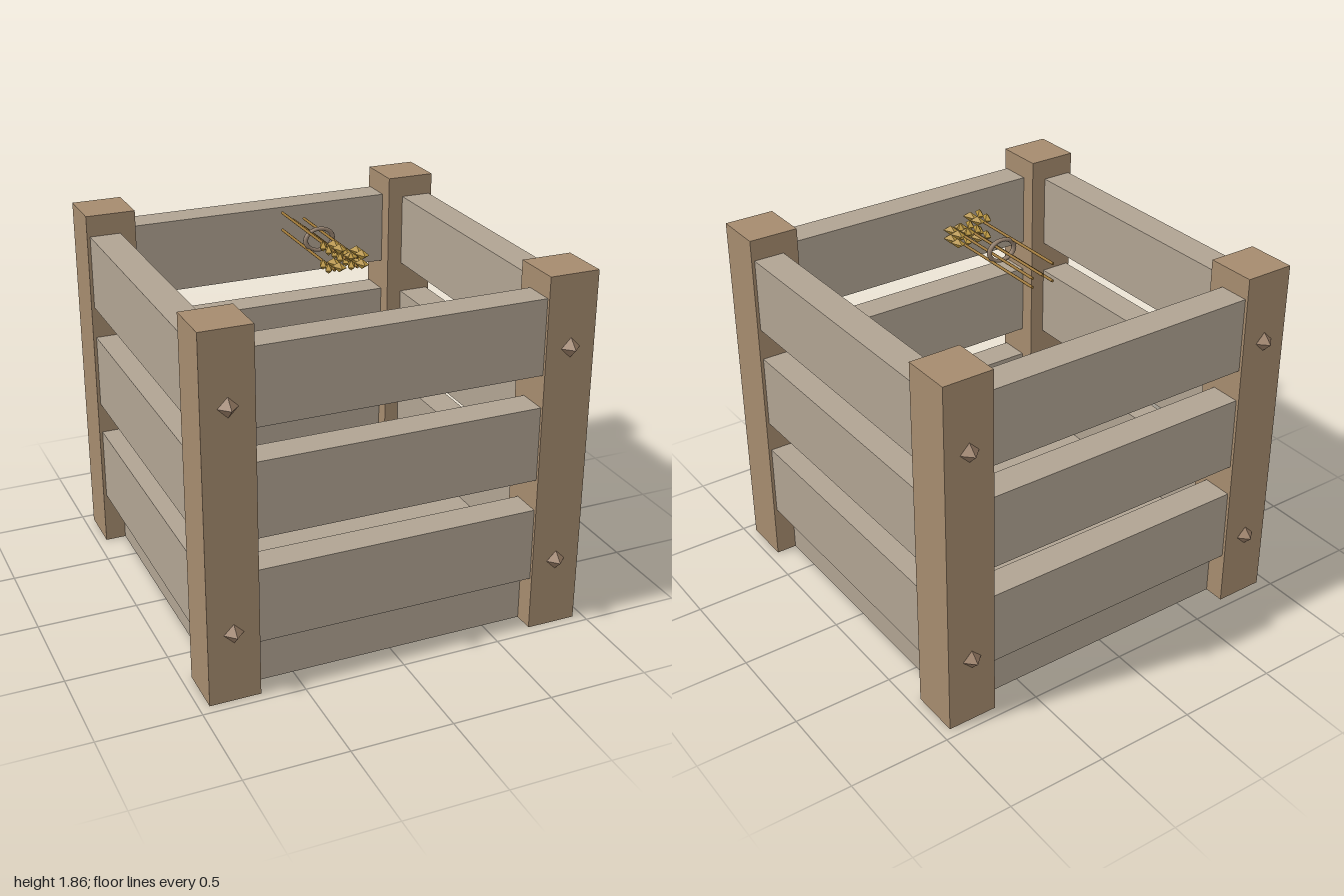
import * as THREE from 'three';

const mat = (name, color) => {
  const m = new THREE.MeshStandardMaterial({ color });
  m.name = name;
  return m;
};

export function createModel() {
  const postWood = mat('post wood', 0xa58b6e);
  const slatWood = mat('slat wood', 0xb0a392);
  const studMetal = mat('stud metal', 0x9c8068);
  const shaftWood = mat('arrow shaft', 0x9c7636);
  const feather = mat('feather gold', 0xb8943f);
  const bandMat = mat('band', 0x94806e);

  const root = new THREE.Group();
  root.name = 'arrowCrate';
  const add = (parent, name, geo, material, x, y, z) => {
    const m = new THREE.Mesh(geo, material);
    m.name = name;
    m.position.set(x, y, z);
    parent.add(m);
    return m;
  };

  // Solid floor block
  add(root, 'base', new THREE.BoxGeometry(1.69, 0.27, 1.69), slatWood, 0, 0.135, 0);

  // Corner posts with pyramid studs on the front and back
  const postGeo = new THREE.BoxGeometry(0.25, 1.815, 0.25);
  const studGeo = new THREE.OctahedronGeometry(0.048);
  for (const sx of [-1, 1]) for (const sz of [-1, 1]) {
    add(root, 'cornerPost', postGeo, postWood, sx * 0.825, 0.9075, sz * 0.825);
    for (const y of [0.355, 1.46])
      add(root, 'stud', studGeo, studMetal, sx * 0.825, y, sz * 0.952);
  }

  // Three slats on each of the four walls
  const slatGeo = new THREE.BoxGeometry(1.4, 0.373, 0.155);
  for (const y of [0.455, 0.987, 1.522]) {
    for (let i = 0; i < 4; i++) {
      const a = i * Math.PI / 2;
      const slat = add(root, 'slat', slatGeo, slatWood, Math.sin(a) * 0.857, y, Math.cos(a) * 0.857);
      slat.rotation.y = a;
    }
  }

  // Swept vane: an octahedron sheared backwards away from the shaft
  const vane = (side) => {
    const g = new THREE.OctahedronGeometry(1);
    g.scale(0.027, 0.025, 0.037);
    const p = g.attributes.position;
    for (let i = 0; i < p.count; i++)
      p.setZ(i, p.getZ(i) + side * p.getX(i) * 0.9);
    g.computeVertexNormals();
    return g;
  };
  const vanes = { '-1': vane(-1), '1': vane(1) };
  const shaftGeo = new THREE.CylinderGeometry(0.007, 0.007, 0.64, 8).rotateX(Math.PI / 2);

  // Bundle of arrows
  const bundle = new THREE.Group();
  bundle.name = 'arrowBundle';
  root.add(bundle);
  const spots = [[-0.057, 1.83], [-0.057, 1.742], [0, 1.787], [0.057, 1.787], [0.057, 1.742]];
  for (const [x, y] of spots) {
    const arrow = new THREE.Group();
    arrow.name = 'arrow';
    arrow.position.set(x, y, 0);
    bundle.add(arrow);
    add(arrow, 'shaft', shaftGeo, shaftWood, 0, 0, -0.015);
    for (const side of [-1, 1]) for (const z of [0.233, 0.295])
      add(arrow, 'vane', vanes[side], feather, side * 0.027, 0.008, z);
  }

  // Oval band round the bundle
  const band = add(bundle, 'band', new THREE.TorusGeometry(0.07, 0.012, 8, 24), bandMat, 0, 1.787, -0.01);
  band.scale.set(1, 0.75, 1);

  return root;
}
